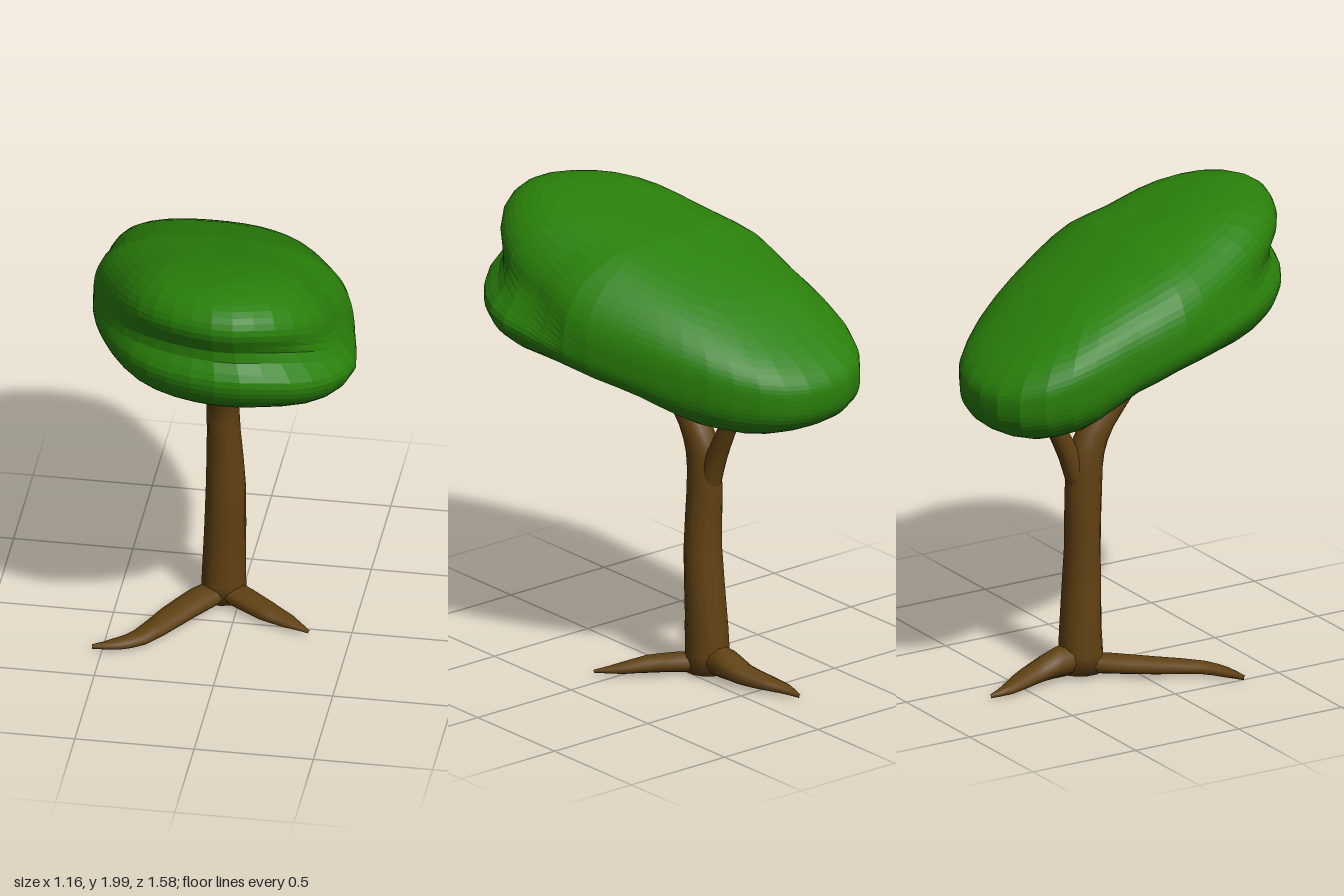
import * as THREE from 'three';
import { ParametricGeometry } from 'three/addons/geometries/ParametricGeometry.js';

const { smoothstep, lerp } = THREE.MathUtils;
const bark = new THREE.MeshStandardMaterial({ color: 0x604112 });
const leaf = new THREE.MeshStandardMaterial({ color: 0x2a800a, flatShading: true });

// Piecewise-linear lookup in [[x, y], ...]
function lookup(table, x) {
  let i = 1;
  while (i < table.length - 1 && x > table[i][0]) i++;
  const [x0, y0] = table[i - 1], [x1, y1] = table[i];
  return lerp(y0, y1, THREE.MathUtils.clamp((x - x0) / (x1 - x0), 0, 1));
}

// Tapered limb through stations [x, y, z, radius sideways, radius upwards]
function limb(name, stations, ref, sides = 14) {
  const path = new THREE.CatmullRomCurve3(stations.map(s => new THREE.Vector3(s[0], s[1], s[2])));
  const sideRadii = stations.map((s, i) => [i, s[3]]);
  const upRadii = stations.map((s, i) => [i, s[4] ?? s[3]]);
  const n = stations.length - 1;
  const geo = new ParametricGeometry((u, v, out) => {
    const t = path.getTangent(v);
    const side = new THREE.Vector3().crossVectors(ref, t).normalize();
    const up = new THREE.Vector3().crossVectors(t, side);
    const a = u * Math.PI * 2;
    out.copy(path.getPoint(v))
      .addScaledVector(side, Math.cos(a) * lookup(sideRadii, v * n))
      .addScaledVector(up, Math.sin(a) * lookup(upRadii, v * n));
  }, sides, n * 2);
  const mesh = new THREE.Mesh(geo, bark);
  mesh.name = name;
  return mesh;
}

// Leaf crown: a plan outline swept over a tilted, domed body with a cleft in front
function canopy() {
  const outline = new THREE.CatmullRomCurve3([
    [0.05, 0.795], [0.2, 0.785], [0.37, 0.71], [0.48, 0.61], [0.55, 0.5], [0.585, 0.38], [0.56, 0.2],
    [0.51, 0], [0.42, -0.2], [0.31, -0.4], [0.17, -0.6], [0.01, -0.74], [-0.2, -0.795], [-0.42, -0.75],
    [-0.54, -0.6], [-0.575, -0.4], [-0.575, -0.2], [-0.585, 0], [-0.555, 0.2], [-0.48, 0.4],
    [-0.34, 0.6], [-0.18, 0.72],
  ].map(([x, z]) => new THREE.Vector3(x, 0, z)), true);
  const upper = [[-0.8, 0.17], [-0.6, 0.21], [-0.4, 0.255], [0, 0.32], [0.4, 0.335], [0.8, 0.335]];
  const lower = [[-0.8, 0.27], [-0.6, 0.3], [-0.4, 0.3], [-0.2, 0.23], [0, 0.21], [0.2, 0.25], [0.4, 0.28], [0.8, 0.31]];
  const geo = new ParametricGeometry((u, v, out) => {
    const p = outline.getPointAt(u % 1);
    const front = smoothstep(p.z, 0.25, 0.78);
    const w = 2 * v - 1;
    // fuller shoulders above, softer flanks below the front sides
    const flank = w > 0 ? 2.7 : lerp(2.7, 2.35, smoothstep(p.z, -0.1, 0.2));
    const power = 2 / lerp(flank, 3.5, front);
    const a = Math.sign(w) * Math.abs(w) ** 1.4 * Math.PI / 2;
    const h = Math.sign(a) * Math.abs(Math.sin(a)) ** power;
    let s = Math.max(0, Math.cos(a)) ** power;
    s *= 1 - 0.085 * front * Math.exp(-(((h - 0.08) / 0.24) ** 2));
    // the upper lobe is narrower than the lower one towards the front sides
    const inset = 1 - 0.16 * smoothstep(h, -0.3, 0.35) * smoothstep(p.z, -0.05, 0.35) * (p.x > 0 ? 1 : 0.5);
    const x = -0.03 + (p.x + 0.03) * s * inset;
    const z = p.z * s;
    const mid = 1.56 + 0.24 * z - 0.04 * smoothstep(x, 0.2, 0.58);
    out.set(x, mid + h * lookup(h > 0 ? upper : lower, z), z);
  }, 40, 32);
  const mesh = new THREE.Mesh(geo, leaf);
  mesh.name = 'canopy';
  return mesh;
}

export function createModel() {
  const tree = new THREE.Group();
  tree.name = 'tree';
  const X = new THREE.Vector3(1, 0, 0), Y = new THREE.Vector3(0, 1, 0);

  // Trunk leaning into the front branch, then the thinner back branch
  tree.add(
    limb('trunk', [
      [-0.07, 0.005, -0.195, 0.01], [-0.07, 0.02, -0.195, 0.1, 0.095], [-0.067, 0.2, -0.195, 0.088, 0.09],
      [-0.058, 0.55, -0.18, 0.074, 0.084], [-0.067, 0.82, -0.18, 0.08, 0.07],
      [-0.07, 0.98, -0.165, 0.078, 0.066], [-0.07, 1.1, -0.1, 0.064, 0.062],
      [-0.065, 1.22, 0.01, 0.056, 0.054], [-0.065, 1.35, 0.09, 0.042, 0.046],
      [-0.065, 1.46, 0.14, 0.02],
    ], X),
    limb('backBranch', [
      [-0.07, 0.84, -0.205, 0.05], [-0.07, 0.97, -0.252, 0.045], [-0.07, 1.09, -0.31, 0.04],
      [-0.07, 1.2, -0.365, 0.037], [-0.07, 1.32, -0.43, 0.02],
    ], X),
  );

  // Flat, tapering roots
  const roots = {
    rightRoot: [
      [-0.07, 0.05, -0.19, 0.06, 0.042], [-0.15, 0.05, -0.09, 0.07, 0.04], [-0.25, 0.043, 0.06, 0.065, 0.034],
      [-0.355, 0.035, 0.225, 0.048, 0.026], [-0.44, 0.03, 0.28, 0.035, 0.02], [-0.54, 0.028, 0.315, 0.008, 0.01],
    ],
    leftRoot: [
      [-0.07, 0.05, -0.19, 0.06, 0.042], [0.03, 0.05, -0.12, 0.06, 0.04], [0.13, 0.045, -0.05, 0.055, 0.035],
      [0.23, 0.035, 0.0, 0.04, 0.022], [0.33, 0.028, 0.06, 0.006, 0.006],
    ],
    backRoot: [
      [-0.07, 0.075, -0.19, 0.06, 0.065], [-0.075, 0.074, -0.3, 0.07, 0.064], [-0.085, 0.054, -0.41, 0.06, 0.044],
      [-0.12, 0.04, -0.52, 0.05, 0.03], [-0.15, 0.03, -0.6, 0.035, 0.02], [-0.16, 0.02, -0.69, 0.006, 0.008],
    ],
  };
  for (const [name, stations] of Object.entries(roots)) tree.add(limb(name, stations, Y, 10));

  tree.add(canopy());
  return tree;
}
